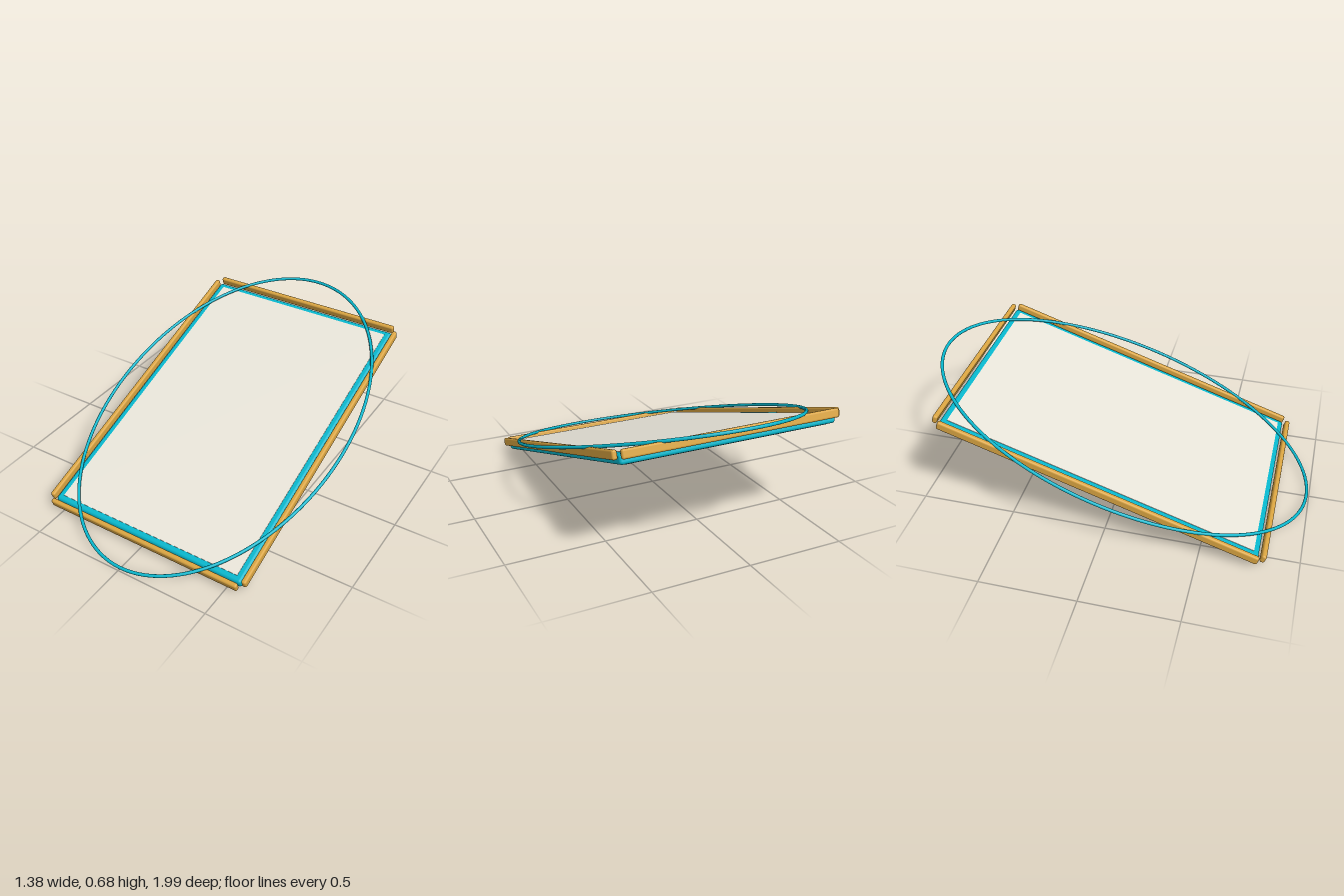
import * as THREE from 'three';
import { RoundedBoxGeometry } from 'three/addons/geometries/RoundedBoxGeometry.js';

const W = 1.125, L = 1.7; // frame width and length

const paint = (color) => new THREE.MeshStandardMaterial({ color });

export function createModel() {
  const teal = paint(0x06b6cc), gold = paint(0xd9a441);
  const cream = paint(0xe9e5da), navy = paint(0x1a2b38);

  // everything lies in one plane that slopes down to the front
  const board = new THREE.Group();
  board.name = 'tiltedBoard';
  board.position.set(0, 0.3275, -0.008);
  board.rotation.x = 0.323;

  const add = (name, geometry, material, x, y, z) => {
    const mesh = new THREE.Mesh(geometry, material);
    mesh.name = name;
    mesh.position.set(x, y, z);
    board.add(mesh);
  };
  const rounded = (w, h, d, r) => new RoundedBoxGeometry(w, h, d, 4, r);

  // slab with a pale top sheet and a dark underside
  add('body', rounded(W, 0.05, L, 0.015), teal, 0, -0.024, 0);
  add('topSheet', new THREE.BoxGeometry(1.06, 0.006, 1.64), cream, 0, 0, 0);
  add('undersideSheet', new THREE.BoxGeometry(1.06, 0.006, 1.64), navy, 0, -0.049, 0);

  // four separate edge rails
  for (const s of [1, -1]) {
    add(s > 0 ? 'leftRail' : 'rightRail', rounded(0.026, 0.045, L, 0.01), gold, s * 0.581, 0, 0);
    add(s > 0 ? 'frontRail' : 'backRail', rounded(W, 0.045, 0.026, 0.01), gold, 0, 0, s * 0.873);
  }

  // thin oval hoop resting on the rails
  const points = [];
  for (let i = 0; i < 64; i++) {
    const a = (i / 64) * Math.PI * 2;
    points.push(new THREE.Vector3(0.682 * Math.cos(a), 0, 1.041 * Math.sin(a)));
  }
  const oval = new THREE.CatmullRomCurve3(points, true);
  add('ovalHoop', new THREE.TubeGeometry(oval, 160, 0.0085, 12, true), teal, 0, 0.023, 0);

  const model = new THREE.Group();
  model.name = 'framedPanel';
  model.add(board);
  return model;
}
